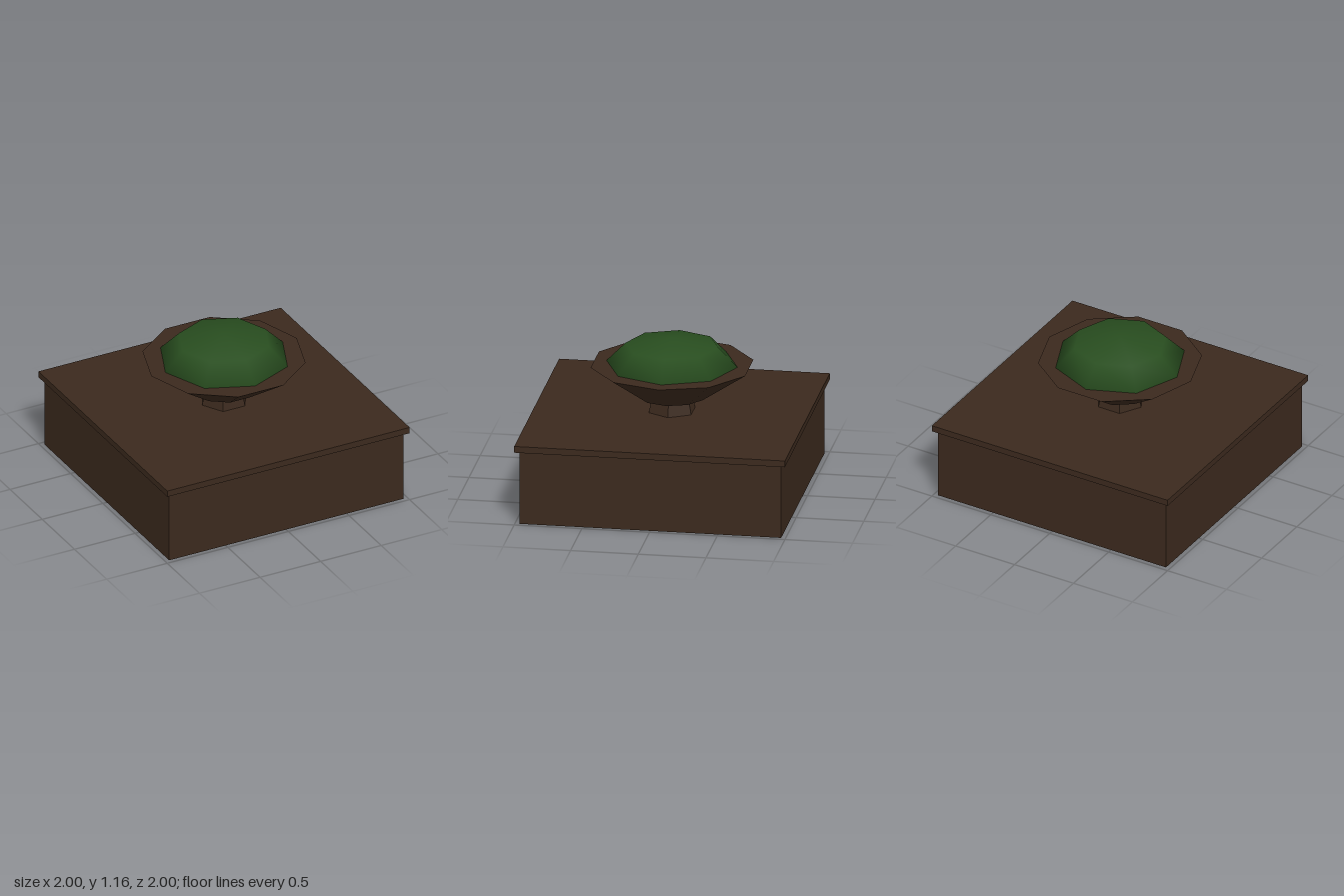
import * as THREE from 'three';

export function createModel() {
  const group = new THREE.Group();
  const brown = new THREE.MeshStandardMaterial({ name: 'dark brown', color: 0x3b291d, side: THREE.DoubleSide, flatShading: true });
  const green = new THREE.MeshStandardMaterial({ name: 'leaf green', color: 0x284d1f });

  const add = (name, geometry, material, y = 0) => {
    const mesh = new THREE.Mesh(geometry, material);
    mesh.name = name;
    mesh.position.y = y;
    group.add(mesh);
  };

  // Four thin upright panels around a square
  const addSides = (name, half, bottom, top) => {
    for (let i = 0; i < 4; i++) {
      const side = new THREE.PlaneGeometry(half * 2, top - bottom);
      side.translate(0, (top + bottom) / 2, half).rotateY(i * Math.PI / 2);
      add(name, side, brown);
    }
  };

  // Hollow plinth, open underneath, and the overhanging lid, a shallow tray turned upside down
  const lidBottom = 0.557, lidTop = 0.605;
  addSides('plinthWall', 0.967, 0, lidBottom);
  addSides('lidEdge', 1, lidBottom, lidTop);
  add('lidTop', new THREE.PlaneGeometry(2, 2).rotateX(-Math.PI / 2), brown, lidTop);

  // Six-sided tapering stem with corners on the x axis
  const stem = new THREE.CylinderGeometry(0.157, 0.18, 0.117, 6, 1, true).rotateY(Math.PI / 2);
  add('stem', stem, brown, 0.6635);

  // Ten-sided flared bowl, filled level to the rim
  const bowl = new THREE.CylinderGeometry(0.6, 0.253, 0.24, 10).rotateY(Math.PI / 2);
  add('bowl', bowl, brown, 0.84);

  // Low smooth dome of foliage
  const dome = new THREE.SphereGeometry(0.484, 8, 2, 0, Math.PI * 2, 0, Math.PI / 2);
  add('foliage', dome.scale(1, 0.42, 1), green, 0.96);

  return group;
}
